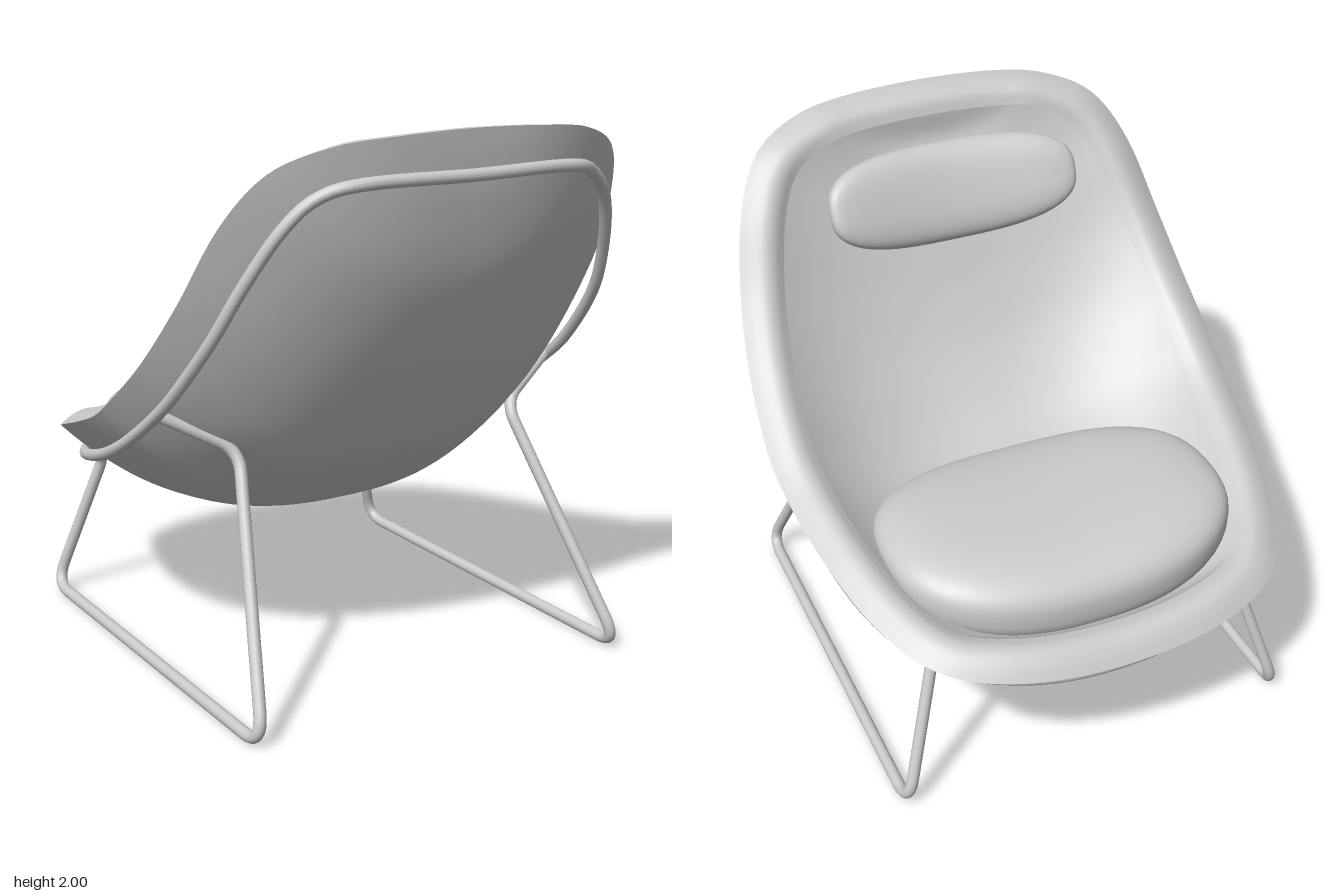
import * as THREE from 'three';
import { mergeVertices } from 'three/addons/utils/BufferGeometryUtils.js';

const mat = new THREE.MeshStandardMaterial({ color: 0xcccccc });
const matDouble = new THREE.MeshStandardMaterial({ color: 0xcccccc, side: THREE.DoubleSide });
const V = (x, y, z) => new THREE.Vector3(x, y, z);
const spline = (pts, closed = false) =>
  new THREE.CatmullRomCurve3(pts.map(p => V(...p)), closed, 'catmullrom', 0.5);

// Half of a symmetric loop (first and last point on x = 0) mirrored into a closed curve
const mirroredLoop = half =>
  spline([...half, ...half.slice(1, -1).reverse().map(([x, y, z]) => [-x, y, z])], true);

// Shell rim from the top of the back to the front lip
const rim = mirroredLoop([
  [0, 2, 0.965], [0.3, 1.99, 0.955], [0.51, 1.965, 0.91], [0.69, 1.885, 0.825],
  [0.8, 1.71, 0.71], [0.87, 1.45, 0.56], [0.912, 1.22, 0.37], [0.93, 1.04, 0.15],
  [0.922, 0.95, 0], [0.897, 0.875, -0.2], [0.858, 0.81, -0.4], [0.797, 0.745, -0.6],
  [0.695, 0.69, -0.79], [0.55, 0.65, -0.9], [0.31, 0.62, -0.97], [0, 0.605, -0.99]]);

// Lip profile: x runs inward from the rim, y away from the bowl
const lipProfile = spline([
  [0, 0, 0], [0.04, 0.025, 0], [0.085, 0.042, 0], [0.125, 0.038, 0], [0.165, 0.012, 0]]);

// Point on the lip; v runs once around the rim, t across the profile
function lipPoint(v, t) {
  if (v > 0.5) return lipPoint(1 - v, t).multiply(V(-1, 1, 1));
  const w = THREE.MathUtils.clamp(v, 0.05, 0.45);
  const slope = rim.getPoint(w + 0.04).sub(rim.getPoint(w - 0.04));
  const up = V(0, -slope.z, slope.y).normalize();
  const inward = up.clone().cross(rim.getTangent(v)).normalize();
  const p = lipProfile.getPoint(t);
  return rim.getPoint(v).addScaledVector(inward, p.x).addScaledVector(up, p.y);
}

// Centre lines of the inner and outer bowl
const lipEnd = v => { const p = lipPoint(v, 1); return [0, p.y, p.z]; };
const innerSpine = spline([
  lipEnd(0), [0, 1.82, 0.825], [0, 1.73, 0.785], [0, 1.6, 0.73],
  [0, 1.44, 0.66], [0, 1.25, 0.57], [0, 1.05, 0.45], [0, 0.85, 0.27],
  [0, 0.74, 0.09], [0, 0.66, -0.1], [0, 0.61, -0.33], [0, 0.595, -0.53],
  [0, 0.605, -0.67], [0, 0.625, -0.75], [0, 0.65, -0.8], lipEnd(0.5)]);
const outerSpine = spline([
  [0, 2, 0.965], [0, 1.9, 0.955], [0, 1.74, 0.93], [0, 1.5, 0.867],
  [0, 1.234, 0.75], [0, 0.97, 0.605], [0, 0.77, 0.465], [0, 0.57, 0.235],
  [0, 0.495, 0.06], [0, 0.45, -0.15], [0, 0.425, -0.35], [0, 0.43, -0.55],
  [0, 0.45, -0.7], [0, 0.48, -0.8], [0, 0.53, -0.9], [0, 0.605, -0.99]]);

// Grid surface from a point function
function surface(point, rows, cols, flip) {
  const pos = [], idx = [], n = cols + 1;
  for (let i = 0; i <= rows; i++) {
    for (let j = 0; j <= cols; j++) {
      pos.push(...point(i / rows, j / cols).toArray());
      if (i === rows || j === cols) continue;
      const a = i * n + j, b = a + 1, c = a + n, d = c + 1;
      idx.push(...(flip ? [a, c, b, b, c, d] : [a, b, c, b, d, c]));
    }
  }
  const g = new THREE.BufferGeometry();
  g.setAttribute('position', new THREE.Float32BufferAttribute(pos, 3));
  g.setIndex(idx);
  g.computeVertexNormals();
  return g;
}

// Flared bowl section from one edge down through the spine to the other edge
const bowl = (spine, edge) => (v, u) => {
  const across = Math.sin((u - 0.5) * Math.PI), rise = Math.abs(across) ** 2.7;
  const s = spine.getPoint(v), e = edge(v / 2);
  return V(e.x * across, s.y + (e.y - s.y) * rise, s.z + (e.z - s.z) * rise);
};

// Soft pad: a sphere squared off in plan and flattened on top, with its ends bent up
function pad(hx, hy, hz, n, bend) {
  const src = new THREE.SphereGeometry(1, 64, 40);
  src.deleteAttribute('uv');
  src.deleteAttribute('normal');
  const g = mergeVertices(src, 1e-5), p = g.attributes.position;
  for (let i = 0; i < p.count; i++) {
    const x = p.getX(i), y = p.getY(i), z = p.getZ(i), r = Math.hypot(x, z);
    let px = 0, pz = 0;
    if (r > 1e-5) {
      const k = Math.pow(r, 0.75) / r /
        Math.pow(Math.abs(x / r) ** n + Math.abs(z / r) ** n, 1 / n);
      px = x * k;
      pz = z * k;
    }
    p.setXYZ(i, px * hx, Math.sign(y) * Math.abs(y) ** 0.75 * hy + bend * px * px, pz * hz);
  }
  g.computeVertexNormals();
  return g;
}

// Straight runs joined by rounded corners; each point is [x, y, z, corner size]
function roundedPath(points) {
  const path = new THREE.CurvePath();
  let from = V(...points[0]);
  for (let i = 1; i < points.length - 1; i++) {
    const c = V(...points[i]), size = points[i][3];
    const toward = q => V(...q).sub(c).setLength(size).add(c);
    const a = toward(points[i - 1]), b = toward(points[i + 1]);
    path.add(new THREE.LineCurve3(from, a));
    path.add(new THREE.QuadraticBezierCurve3(a, c, b));
    from = b;
  }
  path.add(new THREE.LineCurve3(from, V(...points.at(-1))));
  return path;
}

export function createModel() {
  const chair = new THREE.Group();
  chair.name = 'loungeChair';
  const add = (name, geometry, material = mat) => {
    const m = new THREE.Mesh(geometry, material);
    m.name = name;
    chair.add(m);
    return m;
  };

  // Bucket shell with a softly rolled lip
  add('shellInside', surface(bowl(innerSpine, v => lipPoint(v, 1)), 90, 64, false), matDouble);
  add('shellOutside', surface(bowl(outerSpine, v => rim.getPoint(v)), 90, 64, true), matDouble);
  add('shellLip', surface(lipPoint, 180, 14, true), matDouble);

  // Seat cushion and head cushion
  const seat = add('seatCushion', pad(0.67, 0.185, 0.455, 2.5, 0.07));
  seat.position.set(0, 0.715, -0.335);
  seat.rotation.x = -0.03;
  const head = add('headCushion', pad(0.5, 0.085, 0.19, 2.8, 0.09));
  head.position.set(0, 1.67, 0.655);
  head.rotation.x = -Math.atan2(0.9, 0.4);

  // Frame hoop hugging the shell below the lip
  const hoop = mirroredLoop([
    [0, 1.85, 0.968], [0.4, 1.85, 0.95], [0.55, 1.81, 0.895], [0.65, 1.71, 0.845],
    [0.735, 1.53, 0.755], [0.795, 1.33, 0.64], [0.835, 1.12, 0.455], [0.847, 1, 0.31],
    [0.855, 0.88, 0.13], [0.845, 0.8, -0.03], [0.82, 0.735, -0.2], [0.775, 0.675, -0.4],
    [0.71, 0.635, -0.57], [0.62, 0.61, -0.71], [0.48, 0.57, -0.81], [0.25, 0.525, -0.865],
    [0, 0.51, -0.88]]);
  add('frameHoop', new THREE.TubeGeometry(hoop, 200, 0.022, 12, true));

  // Sled legs, one loop on each side
  for (const s of [1, -1]) {
    const leg = roundedPath([
      [s * 0.835, 1.02, 0.33],
      [s * 0.575, 0.88, 0.425, 0.08],
      [s * 0.765, 0.022, 0.9, 0.12],
      [s * 0.765, 0.022, -0.78, 0.11],
      [s * 0.6, 0.58, -0.64, 0.05],
      [s * 0.7, 0.635, -0.59]]);
    add(s > 0 ? 'leftSledLeg' : 'rightSledLeg', new THREE.TubeGeometry(leg, 220, 0.022, 12));
  }
  return chair;
}
